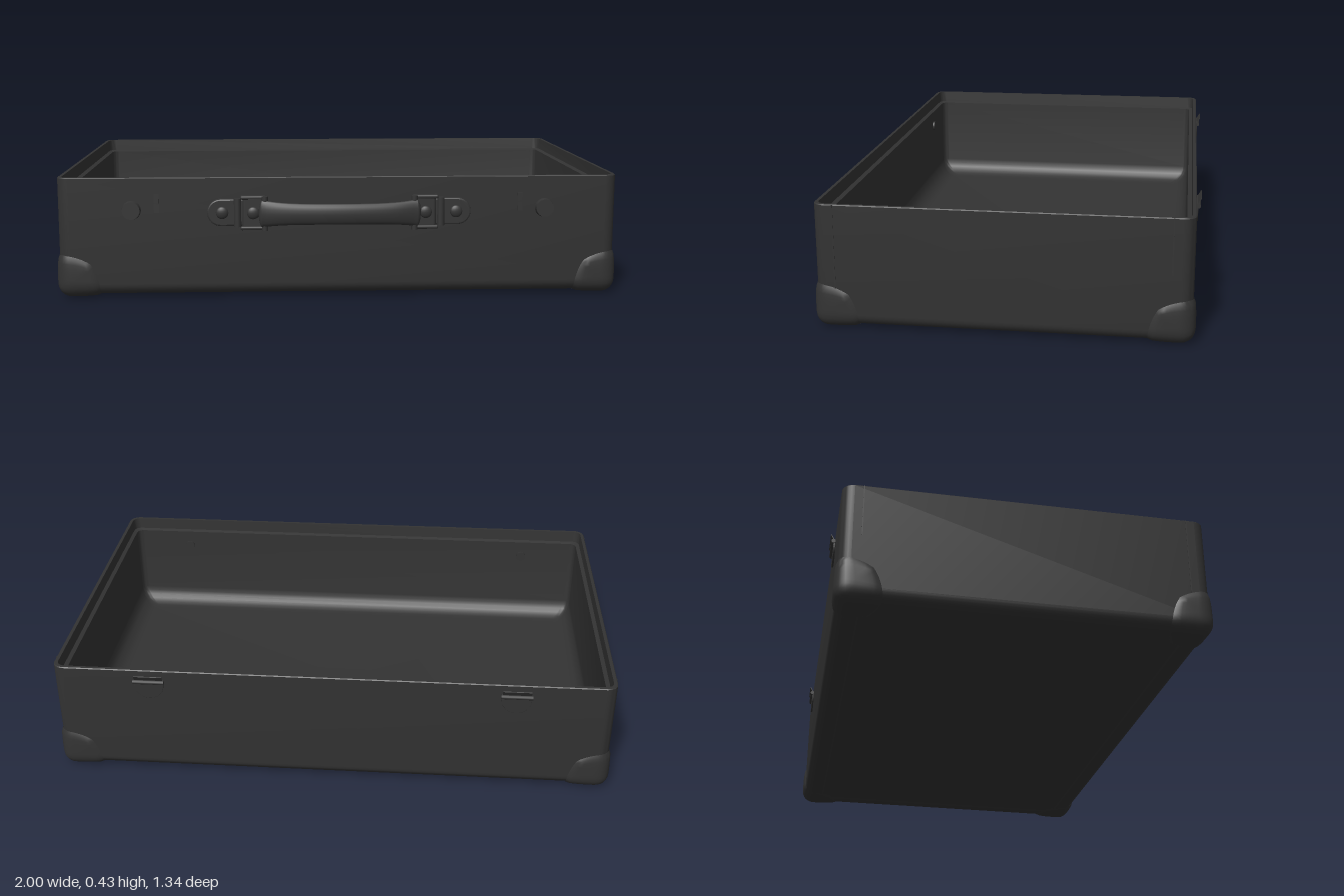
import * as THREE from 'three';
import { toCreasedNormals } from 'three/addons/utils/BufferGeometryUtils.js';
import { RoundedBoxGeometry } from 'three/addons/geometries/RoundedBoxGeometry.js';

const HX = 0.99, HZ = 0.622, CZ = -0.033, BASE = 0.01, TOP = 0.43, R = 0.04;
const dark = new THREE.MeshStandardMaterial({ color: 0x333333 });
const darkDouble = new THREE.MeshStandardMaterial({ color: 0x333333, side: THREE.DoubleSide });

function add(parent, name, geometry, x = 0, y = 0, z = 0, material = dark) {
  const mesh = new THREE.Mesh(geometry, material);
  mesh.name = name;
  mesh.position.set(x, y, z);
  parent.add(mesh);
  return mesh;
}

function indexed(pos, idx) {
  const g = new THREE.BufferGeometry();
  g.setAttribute('position', new THREE.Float32BufferAttribute(pos, 3));
  g.setIndex(idx);
  return toCreasedNormals(g, 0.6);
}

// Rounded rectangle loop at one height
function ring(inset, y, r) {
  const pts = [], hx = Math.max(HX - inset, 0), hz = Math.max(HZ - inset, 0);
  for (let c = 0; c < 4; c++) {
    const sx = c === 0 || c === 3 ? 1 : -1, sz = c < 2 ? 1 : -1;
    for (let i = 0; i <= 6; i++) {
      const a = (c + i / 6) * Math.PI / 2;
      pts.push(sx * (hx - r) + r * Math.cos(a), y, CZ + sz * (hz - r) + r * Math.sin(a));
    }
  }
  return pts;
}

// Tray: outside, rim, stepped lip and filleted inside in one skin
function trayGeometry() {
  const rings = [ring(2, BASE + 0.004, 0), ring(0.08, BASE + 0.004, 0.02), ring(0.075, BASE, 0.02)];
  for (let i = 0; i <= 6; i++) {
    const a = i / 6 * Math.PI / 2;
    rings.push(ring(R * (1 - Math.sin(a)), BASE + R * (1 - Math.cos(a)), R * (0.3 + 0.7 * Math.sin(a))));
  }
  rings.push(ring(0, TOP - 0.003, R), ring(0.003, TOP, R - 0.003), ring(0.014, TOP, 0.028),
    ring(0.016, TOP - 0.045, 0.028), ring(0.03, TOP - 0.05, 0.025));
  for (let i = 0; i <= 6; i++) {
    const a = i / 6 * Math.PI / 2;
    rings.push(ring(0.03 + 0.07 * (1 - Math.cos(a)), 0.1 - 0.07 * Math.sin(a), 0.025));
  }
  rings.push(ring(2, 0.03, 0));
  const n = rings[0].length / 3, idx = [];
  for (let i = 0; i < rings.length - 1; i++) for (let j = 0; j < n; j++) {
    const a = i * n + j, b = i * n + (j + 1) % n;
    idx.push(a, a + n, b + n, a, b + n, b);
  }
  return indexed(rings.flat(), idx);
}

// Corner guard: three quarter-round flaps wrapped over a rounded corner
function guardGeometry(sx, sz) {
  const N = 10, S = 0.145, pos = [], idx = [];
  for (let k = 0; k < 3; k++) {
    const start = pos.length / 3;
    for (let i = 0; i <= N; i++) for (let j = 0; j <= N; j++) {
      const a = i / N, b = j / N, p = [0, 0, 0];
      p[(k + 1) % 3] = S * a * Math.sqrt(1 - b * b * 0.4);
      p[(k + 2) % 3] = S * b * Math.sqrt(1 - a * a * 0.4);
      const core = new THREE.Vector3(...p.map(v => Math.max(v, R)));
      const edge = Math.max(a, b);
      const out = new THREE.Vector3(...p).sub(core)
        .setLength(R + 0.001 + 0.009 * Math.sqrt(1 - edge ** 4)).add(core);
      pos.push(sx * (HX - out.x), BASE + out.y, CZ + sz * (HZ - out.z));
      if (i < N && j < N) {
        const q = start + i * (N + 1) + j, r = q + N + 1;
        if (sx * sz > 0) idx.push(q, r + 1, r, q, q + 1, r + 1);
        else idx.push(q, r, r + 1, q, r + 1, q + 1);
      }
    }
  }
  return indexed(pos, idx);
}

// Flat plate with one fully rounded end pointing to +x
function roundedTab(length, half, depth) {
  const s = new THREE.Shape();
  s.moveTo(0, -half);
  s.lineTo(length - half, -half);
  s.absarc(length - half, 0, half, -Math.PI / 2, Math.PI / 2);
  s.lineTo(0, half);
  const bevel = depth * 0.3;
  return new THREE.ExtrudeGeometry(s, { depth: depth - bevel, bevelThickness: bevel, bevelSize: bevel,
    bevelOffset: -bevel, bevelSegments: 2, curveSegments: 10 });
}

function gripGeometry() {
  const pts = [[-0.27, 0.634], [-0.2, 0.645], [-0.1, 0.653], [0, 0.656], [0.1, 0.653], [0.2, 0.645], [0.27, 0.634]];
  const curve = new THREE.CatmullRomCurve3(pts.map(([x, z]) => new THREE.Vector3(x, 0, z)));
  const g = new THREE.TubeGeometry(curve, 32, 0.014, 16);
  const p = g.attributes.position;
  for (let i = 0; i < p.count; i++) p.setY(i, p.getY(i) * (2.6 + 0.8 * (p.getX(i) / 0.27) ** 4));
  g.computeVertexNormals();
  return g;
}

function stud(parent, name, radius, x, y, z) {
  add(parent, name, new THREE.SphereGeometry(radius, 16, 10), x, y, z).scale.z = 0.45;
}

export function createModel() {
  const model = new THREE.Group();
  model.name = 'openCase';
  const front = CZ + HZ, back = CZ - HZ;
  add(model, 'tray', trayGeometry());
  for (const sx of [-1, 1]) for (const sz of [-1, 1])
    add(model, 'cornerGuard', guardGeometry(sx, sz), 0, 0, 0, darkDouble);

  // Upright seams on the end walls
  for (const sx of [-1, 1]) {
    add(model, 'frontSeam', new THREE.BoxGeometry(0.003, 0.29, 0.004), sx * HX, 0.284, 0.52);
    add(model, 'backSeam', new THREE.BoxGeometry(0.003, 0.19, 0.004), sx * HX, 0.334, -0.585);
  }

  // Carrying handle
  const handle = new THREE.Group();
  handle.name = 'handle';
  handle.position.y = 0.307;
  model.add(handle);
  add(handle, 'grip', gripGeometry(), 0, 0, 0, darkDouble);
  for (const s of [-1, 1]) {
    const side = new THREE.Group();
    side.name = s > 0 ? 'leftMount' : 'rightMount';
    if (s < 0) side.rotation.z = Math.PI;
    handle.add(side);
    add(side, 'gripEnd', new THREE.SphereGeometry(0.014, 16, 10), 0.27, 0, 0.634).scale.y = 3.4;
    add(side, 'strap', roundedTab(0.2, 0.048, 0.018), 0.265, 0, front);
    add(side, 'buckle', new RoundedBoxGeometry(0.075, 0.112, 0.026, 3, 0.01), 0.303, 0, front + 0.016);
    for (const y of [-0.054, 0.054])
      add(side, 'buckleBar', new RoundedBoxGeometry(0.09, 0.014, 0.03, 2, 0.006), 0.303, y, front + 0.018);
    add(side, 'gripPin', new THREE.CylinderGeometry(0.011, 0.011, 0.12, 14), 0.262, 0, 0.63);
    add(side, 'strapPin', new THREE.CylinderGeometry(0.013, 0.013, 0.1, 14), 0.358, 0, front + 0.016);
    stud(side, 'buckleStud', 0.022, 0.303, 0, front + 0.029);
    stud(side, 'strapStud', 0.022, 0.412, 0, front + 0.019);
  }

  for (const s of [-1, 1]) {
    // Lock button, its slot plate and the rivet inside
    const lock = new THREE.Group();
    lock.name = 'lock';
    lock.position.x = s * 0.73;
    model.add(lock);
    add(lock, 'lockButton', new THREE.CylinderGeometry(0.031, 0.034, 0.02, 24), 0, 0.315, front + 0.008).rotation.x = Math.PI / 2;
    add(lock, 'insideRivet', new THREE.CylinderGeometry(0.02, 0.02, 0.01, 16), 0, 0.315, front - 0.033).rotation.x = Math.PI / 2;
    for (const y of [0.32, 0.355])
      add(lock, 'slotPlate', new THREE.BoxGeometry(0.018, 0.03, 0.006), -s * 0.088, y, front + 0.001);

    // Back hinge with a half-round leaf
    const hinge = new THREE.Group();
    hinge.name = 'hinge';
    hinge.position.set(s * 0.645, 0.395, back);
    model.add(hinge);
    const leaf = add(hinge, 'hingeLeaf', roundedTab(0.075, 0.052, 0.005), 0, 0, -0.005);
    leaf.rotation.z = -Math.PI / 2;
    add(hinge, 'hingeBarrel', new THREE.CylinderGeometry(0.008, 0.008, 0.11, 12), 0, -0.008, -0.007).rotation.z = Math.PI / 2;
    const lip = add(hinge, 'hingeLip', new THREE.BoxGeometry(0.1, 0.025, 0.003), 0, 0.008, -0.01);
    lip.rotation.x = -0.5;
  }
  return model;
}
